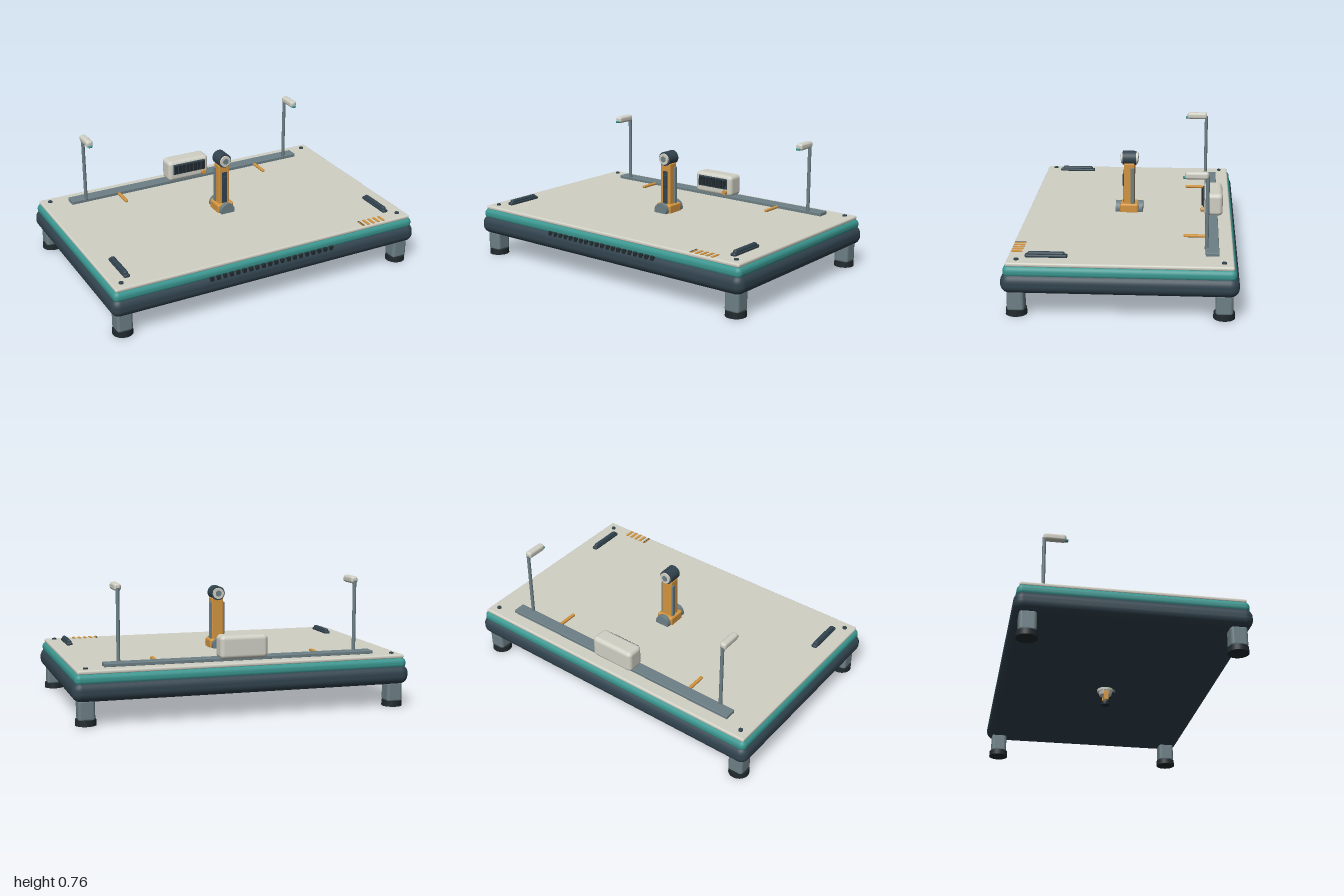
import * as THREE from 'three';
import { RoundedBoxGeometry } from 'three/addons/geometries/RoundedBoxGeometry.js';

const mat = (name, color) => {
  const m = new THREE.MeshStandardMaterial({ color });
  m.name = name;
  return m;
};

export function createModel() {
  const slate = mat('dark slate', 0x32444f);
  const teal = mat('teal', 0x3a9690);
  const cream = mat('warm white', 0xd0d0c5);
  const gray = mat('steel gray', 0x6d8086);
  const orange = mat('orange', 0xd4953f);
  const black = mat('rubber black', 0x20292d);

  const model = new THREE.Group();
  model.name = 'workTable';

  const group = (name, parent = model) => {
    const g = new THREE.Group();
    g.name = name;
    parent.add(g);
    return g;
  };
  const add = (parent, name, geo, material, x, y, z) => {
    const m = new THREE.Mesh(geo, material);
    m.name = name;
    m.position.set(x, y, z);
    parent.add(m);
    return m;
  };
  // box given by its extents; r > 0 rounds the edges
  const box = (parent, name, material, [x0, x1], [y0, y1], [z0, z1], r = 0) => {
    const w = x1 - x0, h = y1 - y0, d = z1 - z0;
    const geo = r ? new RoundedBoxGeometry(w, h, d, 4, r) : new THREE.BoxGeometry(w, h, d);
    return add(parent, name, geo, material, (x0 + x1) / 2, (y0 + y1) / 2, (z0 + z1) / 2);
  };
  // cylinder along y or z
  const cyl = (parent, name, material, r, len, x, y, z, axis = 'y', r2 = r) => {
    const geo = new THREE.CylinderGeometry(r, r2, len, 28);
    if (axis === 'z') geo.rotateX(Math.PI / 2);
    return add(parent, name, geo, material, x, y, z);
  };

  // table body: three stacked rounded slabs
  const body = group('tableBody');
  box(body, 'lowerShell', slate, [-1, 1], [0.135, 0.25], [-0.65, 0.65], 0.05);
  box(body, 'tealBand', teal, [-0.985, 0.985], [0.225, 0.292], [-0.635, 0.635], 0.03);
  box(body, 'topPlate', cream, [-0.97, 0.97], [0.286, 0.31], [-0.62, 0.62], 0.01);

  // front air slots
  const vents = group('frontVents');
  for (let i = 0; i < 20; i++) {
    const x = -0.395 + i * 0.0416;
    box(vents, 'ventSlot', black, [x - 0.013, x + 0.013], [0.22, 0.248], [0.615, 0.645], 0.004);
  }

  // legs and plate bolts
  for (const sx of [-1, 1]) for (const sz of [-1, 1]) {
    const leg = group('leg');
    box(leg, 'legPost', gray, [sx * 0.92 - 0.048, sx * 0.92 + 0.048], [0.025, 0.15],
      [sz * 0.57 - 0.048, sz * 0.57 + 0.048], 0.018);
    cyl(leg, 'footPad', black, 0.058, 0.034, sx * 0.92, 0.017, sz * 0.57, 'y', 0.06);
    cyl(model, 'plateBolt', slate, 0.013, 0.01, sx * 0.915, 0.313, sz * 0.565);
  }

  // grab handles
  for (const s of [-1, 1]) {
    const h = group('handle');
    box(h, 'handleBase', slate, [s * 0.86 - 0.018, s * 0.86 + 0.018], [0.305, 0.327], [0.29, 0.525], 0.01);
    box(h, 'handleGrip', slate, [s * 0.86 - 0.014, s * 0.86 + 0.014], [0.315, 0.34], [0.305, 0.51], 0.011);
  }

  // front right scale marks
  const marks = group('scaleMarks');
  for (let i = 0; i < 5; i++) {
    const x = 0.642 + i * 0.036;
    box(marks, 'scaleMark', orange, [x - 0.008, x + 0.008], [0.309, 0.314], [0.55, 0.612]);
  }
  box(marks, 'scalePointer', slate, [0.639, 0.643], [0.309, 0.316], [0.55, 0.612]);

  // rear rail with guide pins and lamps
  const rear = group('rearRail');
  box(rear, 'rail', gray, [-0.805, 0.805], [0.308, 0.33], [-0.54, -0.465], 0.004);
  for (const s of [-1, 1]) {
    box(rear, 'guidePin', orange, [s * 0.49 - 0.01, s * 0.49 + 0.01], [0.31, 0.326], [-0.48, -0.34], 0.006);
    const lamp = group('lamp', rear);
    cyl(lamp, 'lampMast', gray, 0.0105, 0.42, s * 0.712, 0.53, -0.47);
    box(lamp, 'lampHead', cream, [s * 0.712 - 0.021, s * 0.712 + 0.021], [0.723, 0.765], [-0.475, -0.345], 0.015);
    box(lamp, 'lampLens', teal, [s * 0.712 - 0.012, s * 0.712 + 0.012], [0.726, 0.738], [-0.36, -0.333], 0.004);
  }

  // control box
  const control = group('controlBox');
  box(control, 'controlHousing', cream, [-0.142, 0.142], [0.322, 0.458], [-0.57, -0.458], 0.025);
  box(control, 'screen', slate, [-0.112, 0.112], [0.37, 0.438], [-0.464, -0.45], 0.004);
  for (let i = 0; i < 8; i++) {
    const x = -0.0945 + i * 0.027;
    box(control, 'screenBar', black, [x - 0.009, x + 0.009], [0.378, 0.43], [-0.452, -0.443]);
  }
  cyl(control, 'knob', orange, 0.014, 0.022, 0.1, 0.352, -0.449, 'z');

  // central arm: base, column and pivot head
  const arm = group('arm');
  box(arm, 'armBase', orange, [-0.055, 0.055], [0.3, 0.362], [-0.056, 0.056], 0.012);
  box(arm, 'armColumn', orange, [-0.037, 0.037], [0.34, 0.615], [-0.033, 0.033], 0.008);
  box(arm, 'frontPanel', slate, [-0.016, 0.016], [0.36, 0.565], [0.03, 0.0365]);
  box(arm, 'panelButton', slate, [-0.012, 0.012], [0.465, 0.54], [0.034, 0.042], 0.003);
  cyl(arm, 'pivotHead', slate, 0.043, 0.082, 0, 0.642, 0, 'z');
  for (const s of [-1, 1]) {
    box(arm, 'sideRail', gray, [s * 0.038 - 0.006, s * 0.038 + 0.006], [0.345, 0.588], [-0.031, -0.007], 0.004);
    cyl(arm, 'pivotCap', cream, 0.034, 0.022, 0, 0.642, s * 0.041, 'z');
    cyl(arm, 'pivotPin', gray, 0.018, 0.024, 0, 0.642, s * 0.043, 'z');
    cyl(arm, 'baseHinge', gray, 0.046, 0.03, 0, 0.324, s * 0.068, 'z');
  }

  // tool under the table
  const tool = group('underTool');
  cyl(tool, 'toolCollar', cream, 0.05, 0.02, 0, 0.13, 0, 'y', 0.048);
  cyl(tool, 'toolHousing', cream, 0.044, 0.03, 0, 0.114, 0, 'y', 0.036);
  cyl(tool, 'toolStem', gray, 0.015, 0.055, 0, 0.08, 0);
  cyl(tool, 'toolTip', black, 0.026, 0.02, 0, 0.046, 0);
  box(tool, 'toolSensor', slate, [-0.015, 0.015], [0.114, 0.136], [0.04, 0.06], 0.004);
  for (const s of [-1, 1]) {
    box(tool, 'toolFinger', orange, [s * 0.038 - 0.006, s * 0.038 + 0.006], [0.057, 0.115], [-0.014, 0.014], 0.003);
  }

  return model;
}
